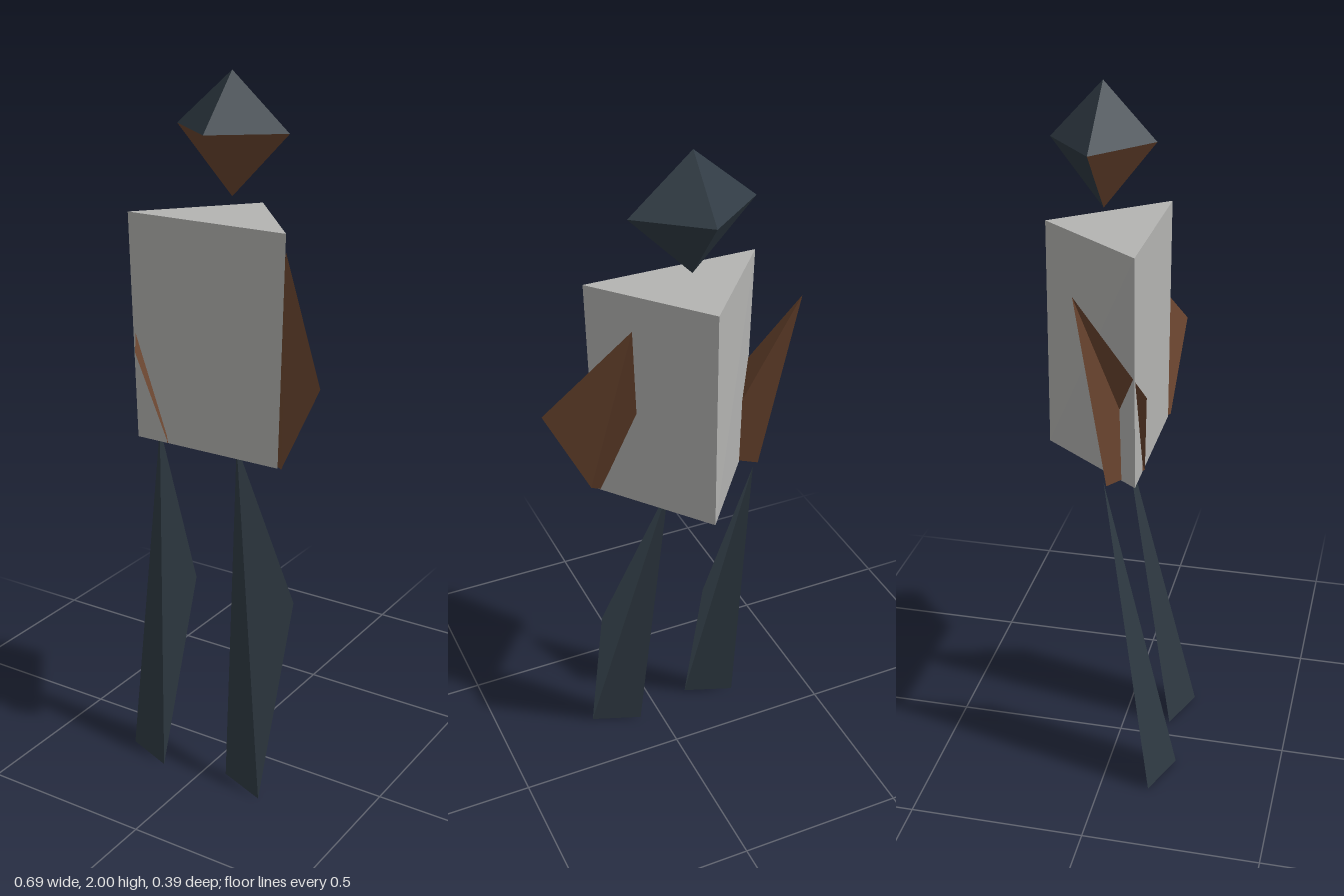
import * as THREE from 'three';

const cloth = new THREE.MeshStandardMaterial({ color: 0xb4b4b2 });
cloth.name = 'pale grey cloth';
const slate = new THREE.MeshStandardMaterial({ color: 0x2f3a43, side: THREE.DoubleSide });
slate.name = 'dark slate';
const skin = new THREE.MeshStandardMaterial({ color: 0x6b452f, side: THREE.DoubleSide });
skin.name = 'brown skin';

// Flat-shaded mesh from a list of triangles, each made of three points
function facets(name, material, triangles) {
  const geometry = new THREE.BufferGeometry();
  geometry.setAttribute('position', new THREE.Float32BufferAttribute(triangles.flat(2), 3));
  geometry.computeVertexNormals();
  const mesh = new THREE.Mesh(geometry, material);
  mesh.name = name;
  return mesh;
}

// Limb: two folded triangles sharing the edge from the joint to the outer end
function limb(name, material, joint, innerEnd, outerEnd, bend) {
  return facets(name, material, [
    [joint, innerEnd, outerEnd],
    [joint, outerEnd, bend],
  ]);
}

// Head: stretched octahedron whose two lower front faces form the face
function makeHead() {
  const x = -0.026, y = 1.85, z = -0.04;
  const top = [x, 2, z], bottom = [x, 1.67, z];
  const ring = [[x, y, z + 0.14], [x + 0.175, y, z], [x, y, z - 0.14], [x - 0.175, y, z]];
  const hair = [], face = [];
  ring.forEach((a, i) => {
    const b = ring[(i + 1) % 4];
    hair.push([top, a, b]);
    (i === 0 || i === 3 ? face : hair).push([bottom, b, a]);
  });
  const head = new THREE.Group();
  head.name = 'head';
  head.add(facets('hair', slate, hair), facets('face', skin, face));
  return head;
}

// Torso: three-sided prism, flat in front, slightly narrower at the waist
function makeTorso() {
  const section = (y, left, right) => [[right, y, 0.095], [left, y, 0.095], [-0.026, y, -0.198]];
  const low = section(0.983, 0.203, -0.255);
  const high = section(1.625, 0.22, -0.273);
  const triangles = [[high[0], high[1], high[2]], [low[0], low[2], low[1]]];
  for (let i = 0; i < 3; i++) {
    const j = (i + 1) % 3;
    triangles.push([low[i], low[j], high[j]], [low[i], high[j], high[i]]);
  }
  return facets('torso', cloth, triangles);
}

export function createModel() {
  const model = new THREE.Group();
  model.name = 'figure';
  model.add(
    makeHead(),
    makeTorso(),
    limb('leftArm', skin, [0.142, 1.54, -0.04], [0.1, 0.985, 0.02], [0.217, 0.985, 0.1], [0.343, 1.24, 0.122]),
    limb('rightArm', skin, [-0.345, 1.54, -0.045], [-0.265, 0.985, 0.02], [-0.15, 0.985, 0.1], [-0.24, 1.24, 0.122]),
    limb('leftLeg', slate, [0.02, 0.985, 0.01], [0.065, 0, 0.14], [0.21, 0, 0.195], [0.225, 0.56, 0.035]),
    limb('rightLeg', slate, [-0.243, 0.985, 0.007], [-0.262, 0, 0.14], [-0.117, 0, 0.195], [-0.102, 0.555, 0.035]),
  );
  return model;
}
